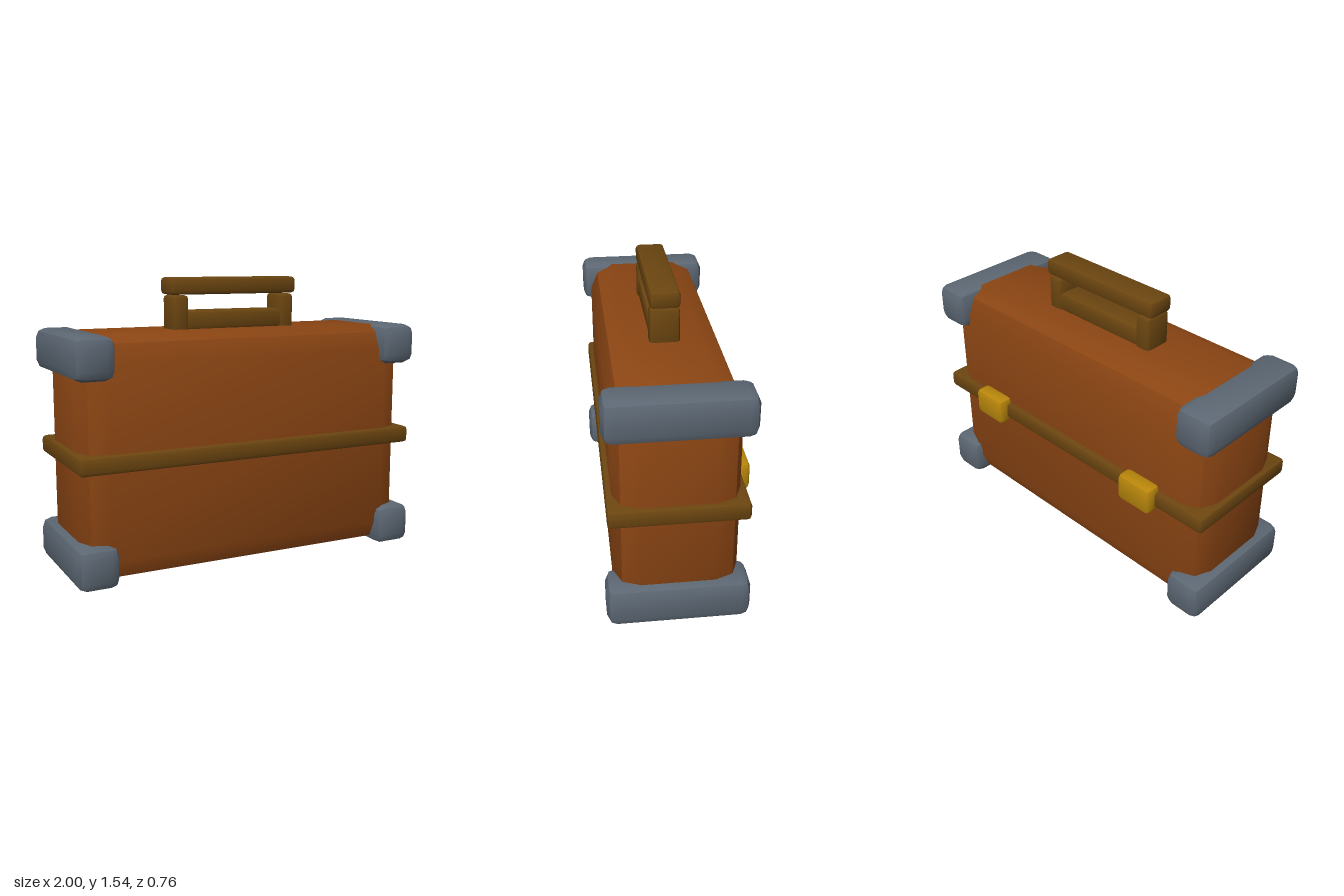
import * as THREE from 'three';
import { RoundedBoxGeometry } from 'three/addons/geometries/RoundedBoxGeometry.js';
import { toCreasedNormals } from 'three/addons/utils/BufferGeometryUtils.js';

function material(name, color) {
  const m = new THREE.MeshStandardMaterial({ color });
  m.name = name;
  return m;
}

// Low-poly bevelled box between two corners
function bevelBox(name, mat, min, max, radius) {
  const size = max.map((v, i) => v - min[i]);
  const geo = toCreasedNormals(new RoundedBoxGeometry(...size, 1, radius), 0.6);
  const mesh = new THREE.Mesh(geo, mat);
  mesh.name = name;
  mesh.position.set(...min.map((v, i) => (v + max[i]) / 2));
  return mesh;
}

export function createModel() {
  const leather = material('leather', 0x8b4513);
  const strapBrown = material('dark leather', 0x6b4510);
  const steel = material('steel', 0x5c6773);
  const brass = material('brass', 0xb8860b);

  const suitcase = new THREE.Group();
  suitcase.name = 'suitcase';

  // Body and the strap around its middle
  suitcase.add(
    bevelBox('body', leather, [-0.95, 0.004, -0.3], [0.95, 1.268, 0.335], 0.13),
    bevelBox('strap', strapBrown, [-0.98, 0.592, -0.332], [0.98, 0.685, 0.365], 0.02),
  );

  // End guards and back clasps, mirrored left and right
  for (const side of [-1, 1]) {
    const label = side > 0 ? 'left' : 'right';
    const span = (a, b) => (side > 0 ? [a, b] : [-b, -a]);
    const [g0, g1] = span(0.78, 1);
    for (const [level, y0, y1] of [['Bottom', 0, 0.222], ['Top', 1.053, 1.272]]) {
      suitcase.add(bevelBox(label + level + 'Guard', steel, [g0, y0, -0.348], [g1, y1, 0.38], 0.05));
    }
    const [c0, c1] = span(0.46, 0.678);
    suitcase.add(bevelBox(label + 'Clasp', brass, [c0, 0.562, -0.382], [c1, 0.717, -0.285], 0.025));
  }

  // Handle: grip, two posts and a base rail
  const handle = new THREE.Group();
  handle.name = 'handle';
  handle.add(
    bevelBox('grip', strapBrown, [-0.38, 1.45, -0.06], [0.376, 1.54, 0.095], 0.02),
    bevelBox('rightPost', strapBrown, [-0.366, 1.22, -0.06], [-0.275, 1.447, 0.095], 0.02),
    bevelBox('leftPost', strapBrown, [0.27, 1.22, -0.06], [0.361, 1.447, 0.095], 0.02),
    bevelBox('baseRail', strapBrown, [-0.32, 1.262, -0.055], [0.316, 1.365, 0.09], 0.02),
  );
  suitcase.add(handle);

  return suitcase;
}
